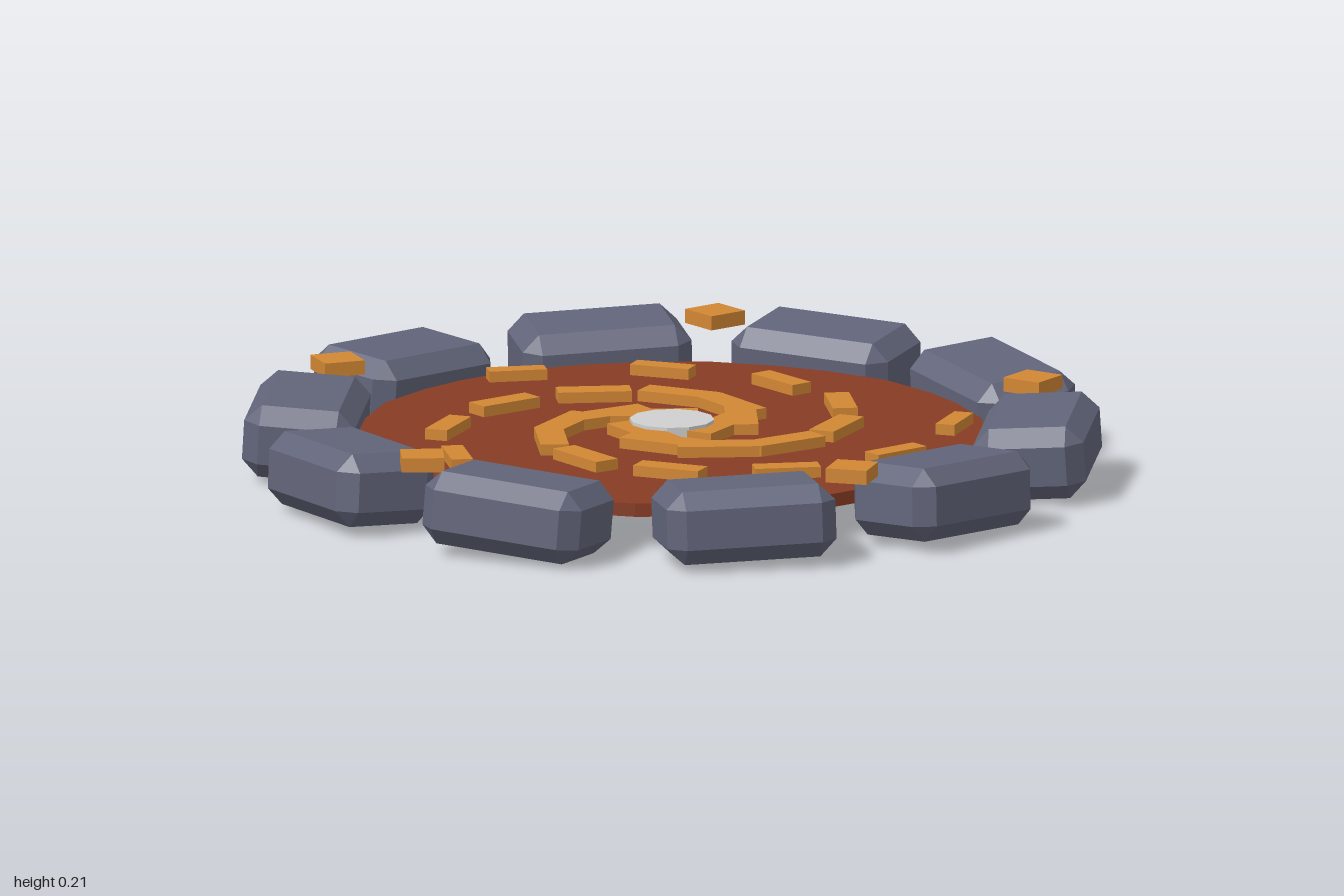
import * as THREE from 'three';
import { ConvexGeometry } from 'three/addons/geometries/ConvexGeometry.js';

const mat = (name, color) => {
  const m = new THREE.MeshStandardMaterial({ color, flatShading: true });
  m.name = name;
  return m;
};

// Box with all edges and corners chamfered by b
function chamferedBox(w, h, d, b) {
  const x = w / 2, y = h / 2, z = d / 2, pts = [];
  for (const i of [-1, 1]) for (const j of [-1, 1]) for (const k of [-1, 1]) {
    pts.push(new THREE.Vector3(i * x, j * (y - b), k * (z - b)));
    pts.push(new THREE.Vector3(i * (x - b), j * y, k * (z - b)));
    pts.push(new THREE.Vector3(i * (x - b), j * (y - b), k * z));
  }
  return new ConvexGeometry(pts);
}

export function createModel() {
  const model = new THREE.Group();
  const stoneMat = mat('slate stone', 0x62657a);
  const discMat = mat('rust floor', 0x873c24);
  const goldMat = mat('amber', 0xd28734);
  const hubMat = mat('pale grey', 0xd0d0d0);

  const add = (name, geometry, material, parent = model) => {
    const mesh = new THREE.Mesh(geometry, material);
    mesh.name = name;
    parent.add(mesh);
    return mesh;
  };
  // Pivot whose local x points outward at an angle, in degrees from +x towards +z
  const spoke = (name, degrees) => {
    const g = new THREE.Group();
    g.name = name;
    g.rotation.y = -THREE.MathUtils.degToRad(degrees);
    model.add(g);
    return g;
  };

  // Floor disc
  add('floorDisc', new THREE.CylinderGeometry(0.743, 0.743, 0.032, 20), discMat).position.y = 0.098;

  // Ring of ten slightly tilted stones
  const stoneGeo = chamferedBox(0.262, 0.174, 0.405, 0.04);
  const tilts = [0.03, -0.04, 0.02, -0.06, 0.03, -0.03, 0.04, -0.03, 0.03, 0.05];
  tilts.forEach((tilt, i) => {
    const stone = add('stone', stoneGeo, stoneMat, spoke('stoneMount', i * 36));
    stone.position.set(0.865, 0.105, 0);
    stone.rotation.set(tilt, 0, 0.06);
  });

  // Five diamond markers above the gaps between stones
  const markerGeo = new THREE.BoxGeometry(0.1, 0.034, 0.1);
  for (let i = 0; i < 5; i++) {
    const marker = add('marker', markerGeo, goldMat, spoke('markerMount', -90 + i * 72));
    marker.position.set(0.865, 0.194, 0);
    marker.rotation.y = Math.PI / 4;
  }

  // Three spiral arms of bars, growing larger towards the centre
  for (let arm = 0; arm < 3; arm++) {
    for (let i = 0; i < 9; i++) {
      const mount = spoke('spiralArm', -10 + arm * 120 + i * 31.25);
      const geo = new THREE.BoxGeometry(0.047 + 0.004 * i, 0.03, 0.138 + 0.009 * i);
      const bar = add('spiralBar', geo, goldMat, mount);
      bar.position.set(0.665 - 0.0695 * i, 0.125, 0);
      bar.rotation.y = -0.39;
    }
  }

  // Centre hub
  add('hub', new THREE.CylinderGeometry(0.1, 0.1, 0.036, 12), hubMat).position.y = 0.13;

  return model;
}
